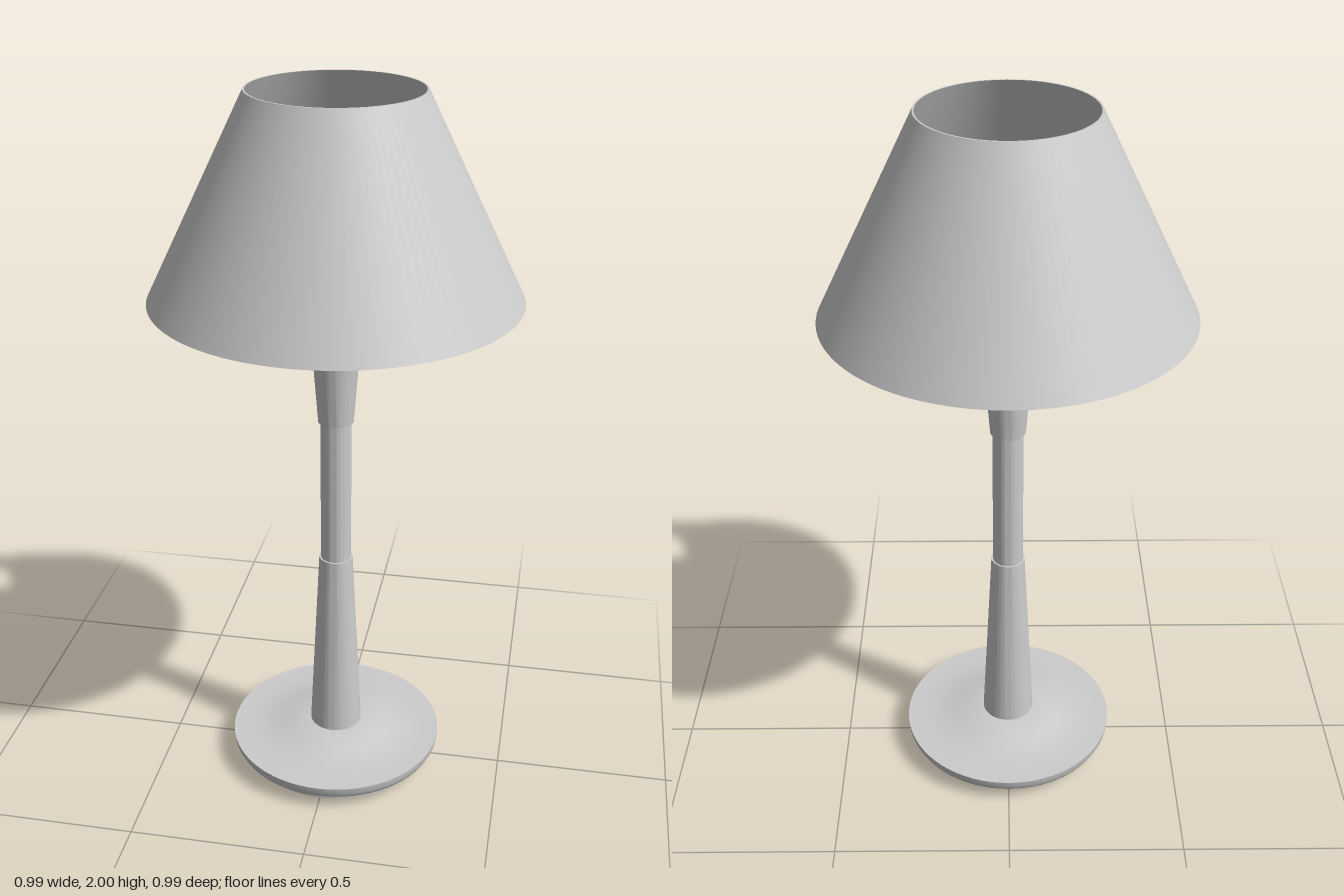
import * as THREE from 'three';
import { toCreasedNormals } from 'three/addons/utils/BufferGeometryUtils.js';

const material = new THREE.MeshStandardMaterial({ color: 0xcccccc, side: THREE.DoubleSide });

// Turned part from a [radius, height] profile running bottom to top
function turned(name, profile, segments = 72) {
  const points = profile.map(([r, y]) => new THREE.Vector2(r, y));
  const geometry = toCreasedNormals(new THREE.LatheGeometry(points, segments), 0.5);
  const mesh = new THREE.Mesh(geometry, material);
  mesh.name = name;
  return mesh;
}

// Quarter-round or longer arc of profile points
function arc(r, y, radius, from, to, steps) {
  return Array.from({ length: steps + 1 }, (_, i) => {
    const a = from + (to - from) * i / steps;
    return [r + radius * Math.cos(a), y + radius * Math.sin(a)];
  });
}

export function createModel() {
  const lamp = new THREE.Group();
  lamp.name = 'tableLamp';

  // Round foot with a recessed plinth, rounded lip and gently domed top
  lamp.add(turned('base', [
    [0, 0], [0.262, 0], [0.262, 0.025], [0.272, 0.025],
    [0.291, 0.032], [0.303, 0.042], [0.309, 0.054], [0.311, 0.075],
    [0.285, 0.075], [0.24, 0.076], [0.2, 0.08], [0.16, 0.089], [0.12, 0.099], [0.08, 0.104], [0, 0.104],
  ]));

  // Stem: tapered lower sleeve, plain pipe, flared upper sleeve
  lamp.add(turned('lowerSleeve', [[0, 0.1], [0.076, 0.1], [0.048, 0.672], [0, 0.672]]));
  lamp.add(turned('pipe', [[0.043, 0.66], [0.043, 1.11]]));
  lamp.add(turned('upperSleeve', [[0, 1.1], [0.049, 1.1], [0.063, 1.29], [0, 1.29]]));

  // Bulb holder with rounded bottom and a collar ring
  lamp.add(turned('socket', [
    [0, 1.287], ...arc(0.048, 1.332, 0.045, -Math.PI / 2, 0, 8),
    [0.093, 1.5], [0.086, 1.505], [0.086, 1.515], [0, 1.515],
  ]));
  lamp.add(turned('socketCollar', [
    [0, 1.51], [0.09, 1.51], [0.096, 1.516], [0.096, 1.54], [0.09, 1.547], [0, 1.547],
  ]));

  // Bulb: narrow neck flowing into a globe
  lamp.add(turned('bulb', [
    [0.082, 1.54], [0.082, 1.57], [0.085, 1.59], [0.092, 1.615],
    ...arc(0, 1.72, 0.13, -0.7, Math.PI / 2, 20),
  ]));

  // Conical shade, open at both ends, with a thin wall
  lamp.add(turned('shade', [
    [0.495, 1.46], [0.229, 2], [0.224, 2], [0.489, 1.46], [0.495, 1.46],
  ], 96));

  return lamp;
}
